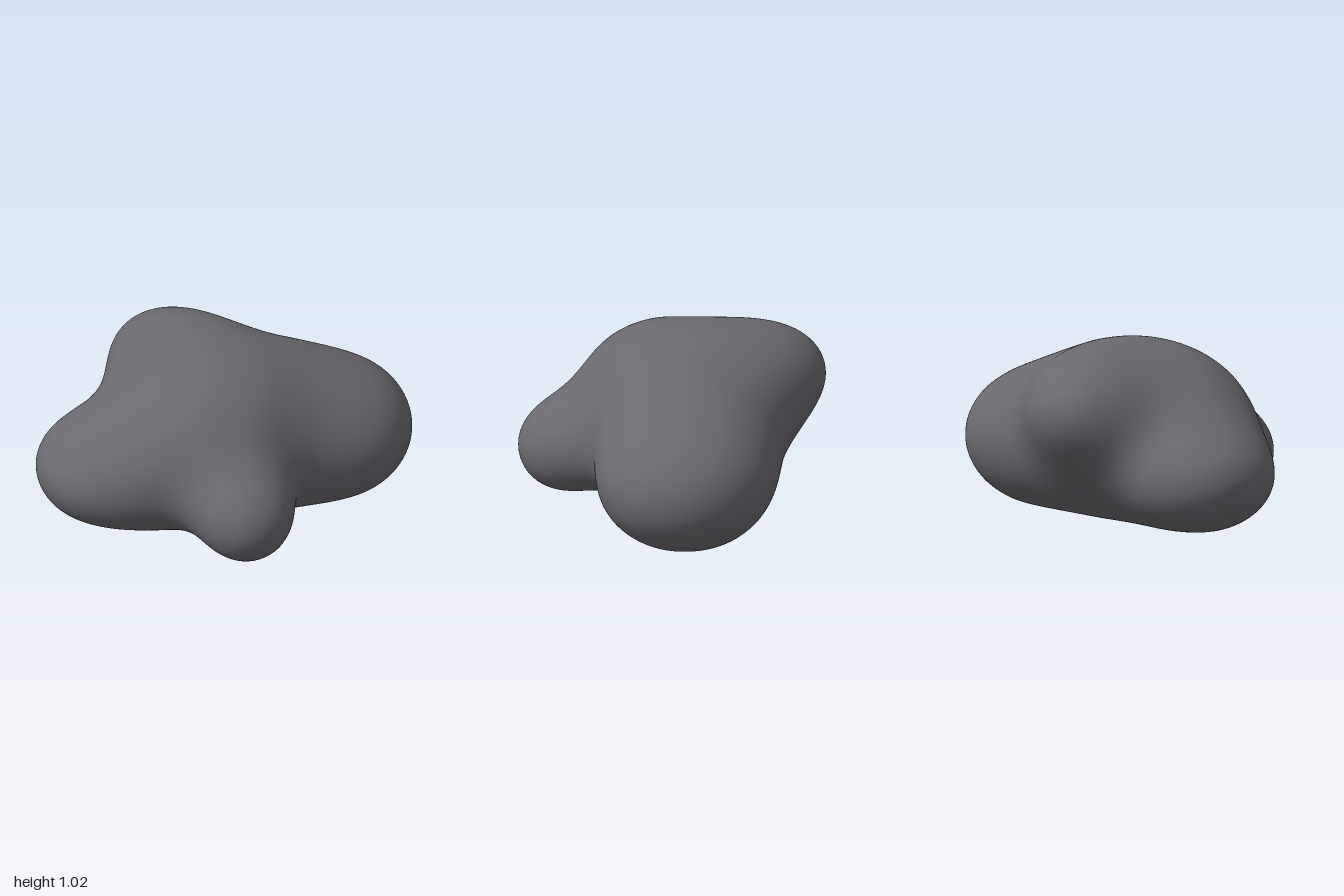
import * as THREE from 'three';
import { mergeVertices } from 'three/addons/utils/BufferGeometryUtils.js';

// Lobes of the boulder: centre and radii of each ellipsoid
const LOBES = [
  { c: [-0.08, 0.49, 0.0], r: [0.69, 0.525, 0.575] },   // main mass
  { c: [0.51, 0.37, 0.28], r: [0.49, 0.4, 0.5] },       // front left lobe
  { c: [-0.58, 0.33, -0.34], r: [0.42, 0.315, 0.42] },  // back right lobe
  { c: [0.05, 0.69, -0.46], r: [0.31, 0.28, 0.355] },   // raised back lobe
  { c: [-0.43, 0.285, 0.56], r: [0.26, 0.25, 0.25] },   // small front right knob
];
const BLEND = 0.3;
const GROUND_BLEND = 0.04;
const CORE = new THREE.Vector3(0, 0.42, 0);

// Approximate distance to an ellipsoid
function ellipsoid(p, { c, r }) {
  const x = (p.x - c[0]) / r[0], y = (p.y - c[1]) / r[1], z = (p.z - c[2]) / r[2];
  const k0 = Math.hypot(x, y, z);
  const k1 = Math.hypot(x / r[0], y / r[1], z / r[2]);
  return k1 < 1e-6 ? -Math.min(...r) : (k0 * (k0 - 1)) / k1;
}

// Soft union of two distances
function softMin(a, b, k) {
  const h = Math.max(k - Math.abs(a - b), 0) / k;
  return Math.min(a, b) - (h * h * k) / 4;
}

// All lobes melted together, cut flat by the ground with a softened rim
function field(p) {
  let d = ellipsoid(p, LOBES[0]);
  for (let i = 1; i < LOBES.length; i++) d = softMin(d, ellipsoid(p, LOBES[i]), BLEND);
  return -softMin(-d, p.y, GROUND_BLEND);
}

// Outermost surface point along a direction from the core
function surfacePoint(dir, out) {
  const at = (t) => field(out.copy(dir).multiplyScalar(t).add(CORE));
  let t = 1.4;
  while (t > 0.02 && at(t) > 0) t -= 0.02;
  let lo = t, hi = t + 0.02;
  for (let i = 0; i < 12; i++) {
    const mid = (lo + hi) / 2;
    if (at(mid) > 0) hi = mid; else lo = mid;
  }
  at(lo);
  return out;
}

export function createModel() {
  const group = new THREE.Group();
  group.name = 'boulder';

  // Fine sphere shrunk onto the blended lobes
  let geo = new THREE.IcosahedronGeometry(1, 48);
  geo.deleteAttribute('normal');
  geo.deleteAttribute('uv');
  geo = mergeVertices(geo, 1e-5);
  const pos = geo.attributes.position;
  const dir = new THREE.Vector3(), p = new THREE.Vector3();
  for (let i = 0; i < pos.count; i++) {
    dir.fromBufferAttribute(pos, i).normalize();
    surfacePoint(dir, p);
    pos.setXYZ(i, p.x, p.y, p.z);
  }
  geo.computeVertexNormals();

  const stone = new THREE.Mesh(geo, new THREE.MeshStandardMaterial({ color: 0x69696f }));
  stone.name = 'stone';
  group.add(stone);
  return group;
}
